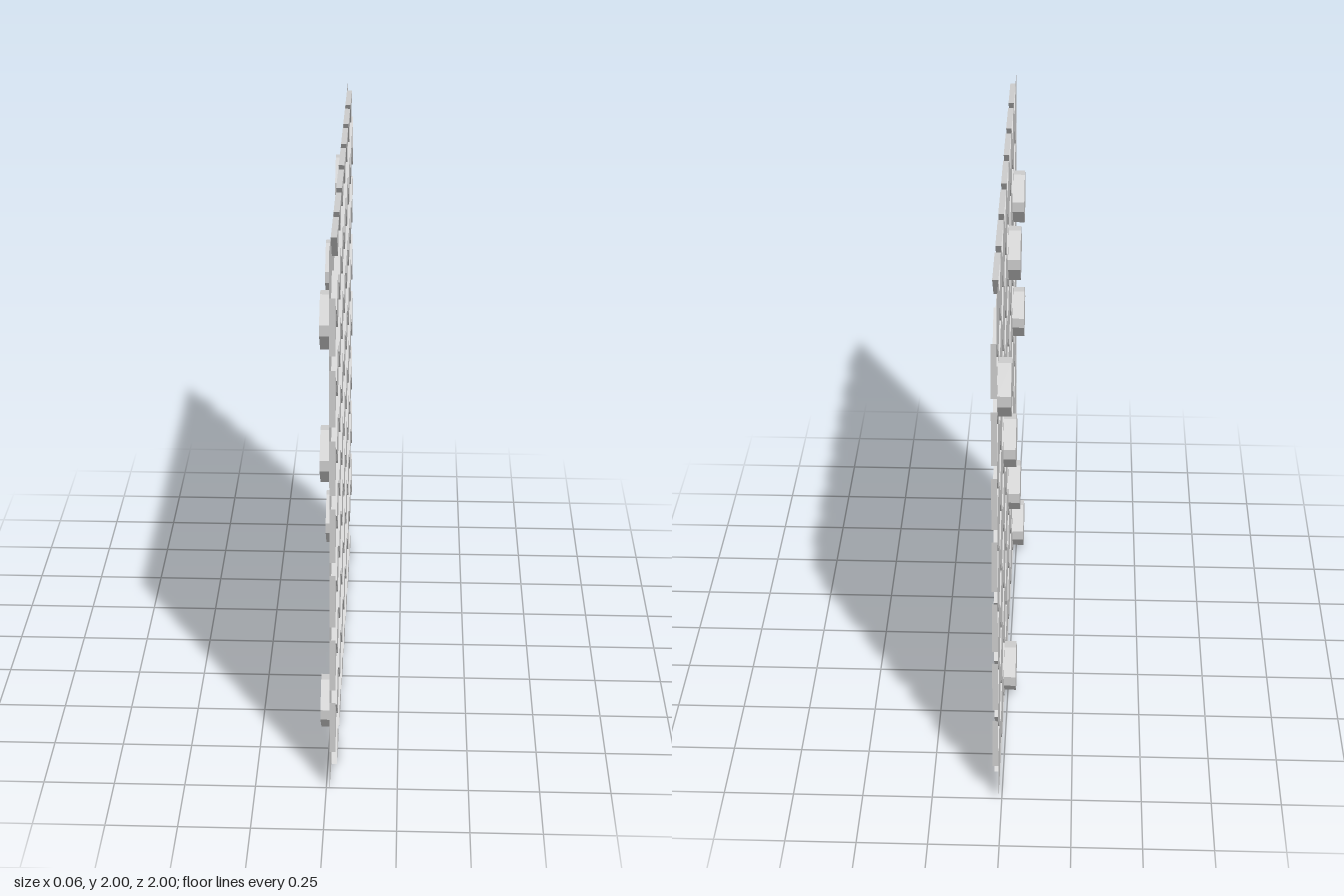
import * as THREE from 'three';
import { mergeGeometries } from 'three/addons/utils/BufferGeometryUtils.js';

const SHEET = 0.012, RAISED = 0.032, SUNK = -0.032; // x levels of the sheet, diamonds and studs
const R = 0.1, STEP = 0.25;

// Pressed pocket over a convex counter-clockwise outline: side walls plus end face
function pocket(points, level) {
  const pos = [];
  const at = ([u, v], w) => pos.push(u, v, w);
  points.forEach((a, i) => {
    const b = points[(i + 1) % points.length];
    at(a, SHEET); at(b, SHEET); at(b, level);
    at(a, SHEET); at(b, level); at(a, level);
    if (i > 0 && i < points.length - 1) {
      at(points[0], level); at(a, level); at(b, level);
    }
  });
  const g = new THREE.BufferGeometry();
  g.setAttribute('position', new THREE.Float32BufferAttribute(pos, 3));
  g.computeVertexNormals();
  return g;
}

const toVectors = (pts) => pts.map(([u, v]) => new THREE.Vector2(u, v));

export function createModel() {
  const group = new THREE.Group();
  group.name = 'embossedPanel';
  const material = new THREE.MeshStandardMaterial({
    color: 0xcccccc, side: THREE.DoubleSide, flatShading: true,
  });
  // Drawn in the (u, v) plane, then turned so the panel faces +x
  const add = (name, geometry) => {
    const mesh = new THREE.Mesh(geometry.rotateY(Math.PI / 2), material);
    mesh.name = name;
    group.add(mesh);
  };

  const diamonds = [], studs = [], outline = [];

  // Full diamonds on a square grid
  for (let i = 1; i < 8; i++) {
    for (let j = 1; j < 8; j++) {
      const u = -1 + i * STEP, v = j * STEP;
      diamonds.push([[u + R, v], [u, v + R], [u - R, v], [u, v - R]]);
    }
  }
  const holes = [...diamonds];

  // Half diamonds notched into each of the four borders
  for (let side = 0; side < 4; side++) {
    const c = Math.round(Math.cos(side * Math.PI / 2));
    const s = Math.round(Math.sin(side * Math.PI / 2));
    const place = (t, d) => {
      const p = t - 1, q = d - 1;
      return [c * p - s * q, s * p + c * q + 1];
    };
    outline.push(place(0, 0));
    for (let i = 1; i < 8; i++) {
      const t = i * STEP;
      const notch = [place(t - R, 0), place(t, R), place(t + R, 0)];
      outline.push(...notch);
      diamonds.push([...notch].reverse());
    }
  }

  // Eight-sided studs pressed the other way, listed as [z, y]
  const spots = [
    [0.625, 1.625], [0.125, 1.625], [-0.875, 1.625], [0.625, 1.125],
    [-0.375, 1.125], [0.125, 0.625], [0.625, 0.125], [-0.375, 0.125],
  ];
  const f = 0.02;
  for (const [z, y] of spots) {
    studs.push([[R, -f], [R, f], [f, R], [-f, R], [-R, f], [-R, -f], [-f, -R], [f, -R]]
      .map(([a, b]) => [a - z, b + y]));
  }

  // Flat sheet left between the pressed shapes
  const shape = new THREE.Shape(toVectors(outline));
  for (const h of [...holes, ...studs]) shape.holes.push(new THREE.Path(toVectors(h)));
  add('sheet', new THREE.ShapeGeometry(shape).translate(0, 0, SHEET));
  add('raisedDiamonds', mergeGeometries(diamonds.map((p) => pocket(p, RAISED))));
  add('sunkenStuds', mergeGeometries(studs.map((p) => pocket(p, SUNK))));
  return group;
}
